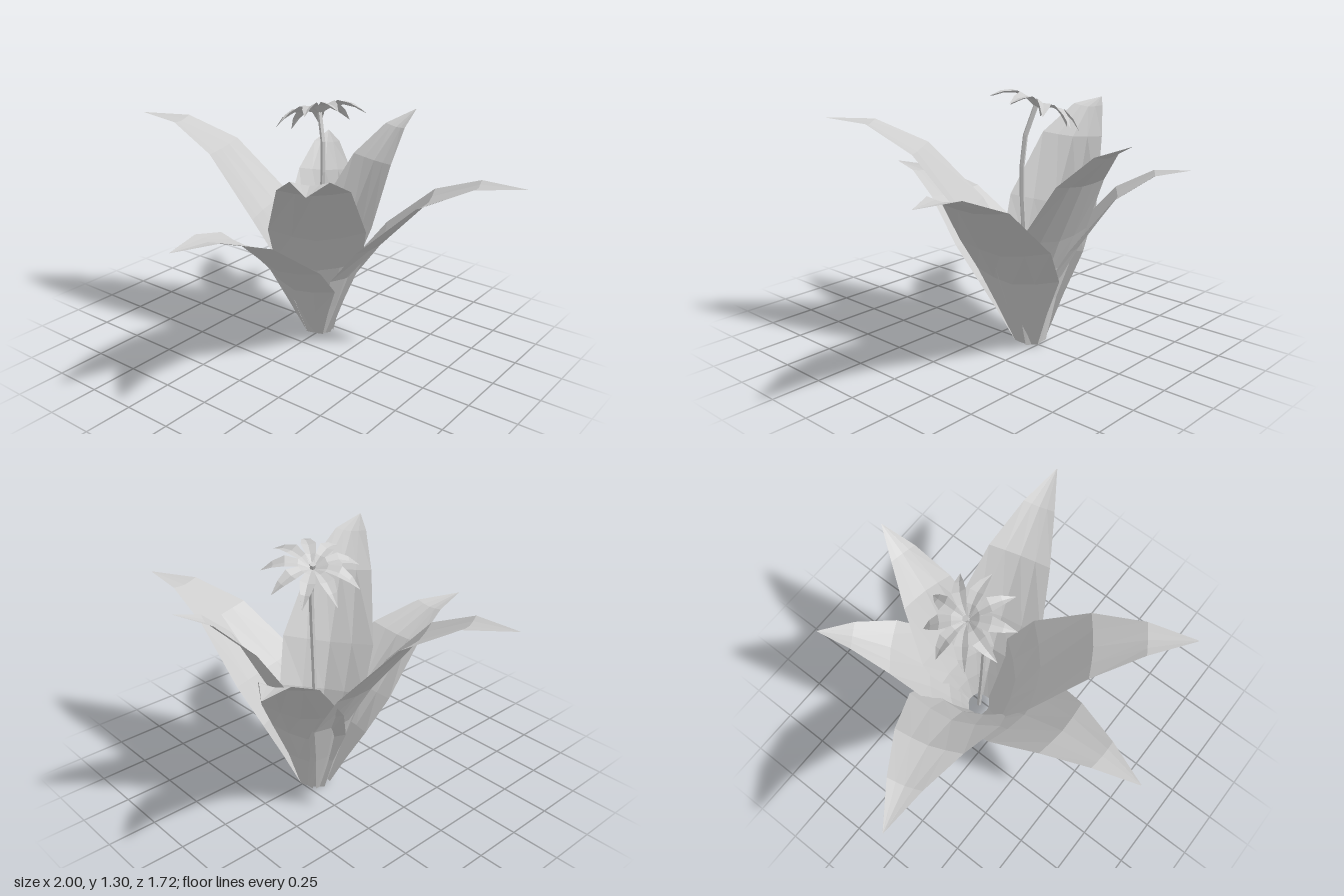
import * as THREE from 'three';

// Flat-faceted strip: each row is [outward, up, halfWidth, fold]; edges fold
// along the row's inner normal. Local +x is outward, the width runs along z.
function bladeGeometry(rows, columns) {
  const pts = [];
  const index = [];
  rows.forEach(([r, y, w, fold], i) => {
    const a = rows[Math.max(i - 1, 0)];
    const b = rows[Math.min(i + 1, rows.length - 1)];
    const n = new THREE.Vector2(-(b[1] - a[1]), b[0] - a[0]).normalize();
    columns.forEach((s) => {
      const lift = fold * w * Math.pow(Math.abs(s), 1.5);
      pts.push(r + n.x * lift, y + n.y * lift, w * s);
    });
  });
  const c = columns.length;
  for (let i = 0; i < rows.length - 1; i++) {
    for (let j = 0; j < c - 1; j++) {
      const p = i * c + j;
      index.push(p, p + 1, p + c, p + 1, p + c + 1, p + c);
    }
  }
  const indexed = new THREE.BufferGeometry();
  indexed.setAttribute('position', new THREE.Float32BufferAttribute(pts, 3));
  indexed.setIndex(index);
  const geo = indexed.toNonIndexed();
  geo.computeVertexNormals();
  return geo;
}

export function createModel() {
  const model = new THREE.Group();
  model.name = 'floweringPlant';
  const grey = new THREE.MeshStandardMaterial({ color: 0xcccccc, side: THREE.DoubleSide, flatShading: true });
  grey.name = 'plantGrey';

  const add = (parent, name, geo) => {
    const mesh = new THREE.Mesh(geo, grey);
    mesh.name = name;
    parent.add(mesh);
    return mesh;
  };

  // Six broad arching leaves around a common root
  const root = new THREE.Vector3(-0.02, 0, -0.18);
  // [fraction outward, fraction up, half width, fold, share of straightening]
  const profile = [
    [0.06, 0, 0.065, 0.2, 0],
    [0.13, 0.2, 0.14, 0.27, 0.2],
    [0.2, 0.39, 0.225, 0.3, 0.4],
    [0.32, 0.58, 0.243, 0.24, 0.6],
    [0.55, 0.86, 0.17, 0.14, 0.6],
    [0.78, 0.975, 0.085, 0.18, 0.6],
    [1, 1, 0.002, 0, 0],
  ];
  // [tip x, tip height, tip z, width scale, straightness]
  const leaves = [
    [-1.0, 1.13, 0.12, 1, 0],
    [-0.06, 0.79, 0.86, 1, 0],
    [0.56, 1.135, 0.69, 1, 0],
    [1.0, 0.955, -0.44, 1, 0],
    [0.13, 1.13, -0.86, 0.85, 0.37],
    [-0.44, 0.925, -0.82, 0.85, 0.07],
  ];
  leaves.forEach(([x, h, z, scale, straight], i) => {
    const dx = x - root.x;
    const dz = z - root.z;
    const reach = Math.hypot(dx, dz);
    const rows = profile.map(([f, u, w, fold, share], k) => [
      k === 0 ? 0.06 : f * reach,
      h * (u + (f - u) * straight * share),
      k === 0 ? w : w * scale,
      fold,
    ]);
    const leaf = add(model, 'leaf' + (i + 1), bladeGeometry(rows, [-1, -0.5, 0, 0.5, 1]));
    leaf.position.copy(root);
    leaf.rotation.y = -Math.atan2(dz, dx);
  });

  // Slender bent flower stem
  const stemPath = new THREE.CatmullRomCurve3([
    new THREE.Vector3(-0.02, 0, -0.18),
    new THREE.Vector3(0, 0.5, -0.155),
    new THREE.Vector3(0.02, 0.92, -0.15),
    new THREE.Vector3(0.005, 1.1, -0.165),
    new THREE.Vector3(-0.035, 1.22, -0.19),
  ]);
  add(model, 'stem', new THREE.TubeGeometry(stemPath, 8, 0.013, 5));

  // Tilted flower with nine drooping petals
  const flower = new THREE.Group();
  flower.name = 'flower';
  flower.position.set(-0.035, 1.212, -0.19);
  flower.quaternion.setFromUnitVectors(
    new THREE.Vector3(0, 1, 0),
    new THREE.Vector3(-0.38, 1, -0.2).normalize()
  );
  model.add(flower);
  const petalGeometry = bladeGeometry([
    [0.01, 0, 0.008, 0.3],
    [0.07, 0.024, 0.025, 0.3],
    [0.13, 0.026, 0.037, 0.3],
    [0.185, 0.004, 0.023, 0.3],
    [0.24, -0.035, 0.001, 0],
  ], [-1, 0, 1]);
  for (let i = 0; i < 9; i++) {
    const petal = add(flower, 'petal' + (i + 1), petalGeometry);
    petal.rotation.y = 0.16 + (i * Math.PI * 2) / 9;
  }
  const heart = add(flower, 'flowerCentre', new THREE.CylinderGeometry(0.016, 0.012, 0.03, 6));
  heart.position.y = 0.012;

  return model;
}
